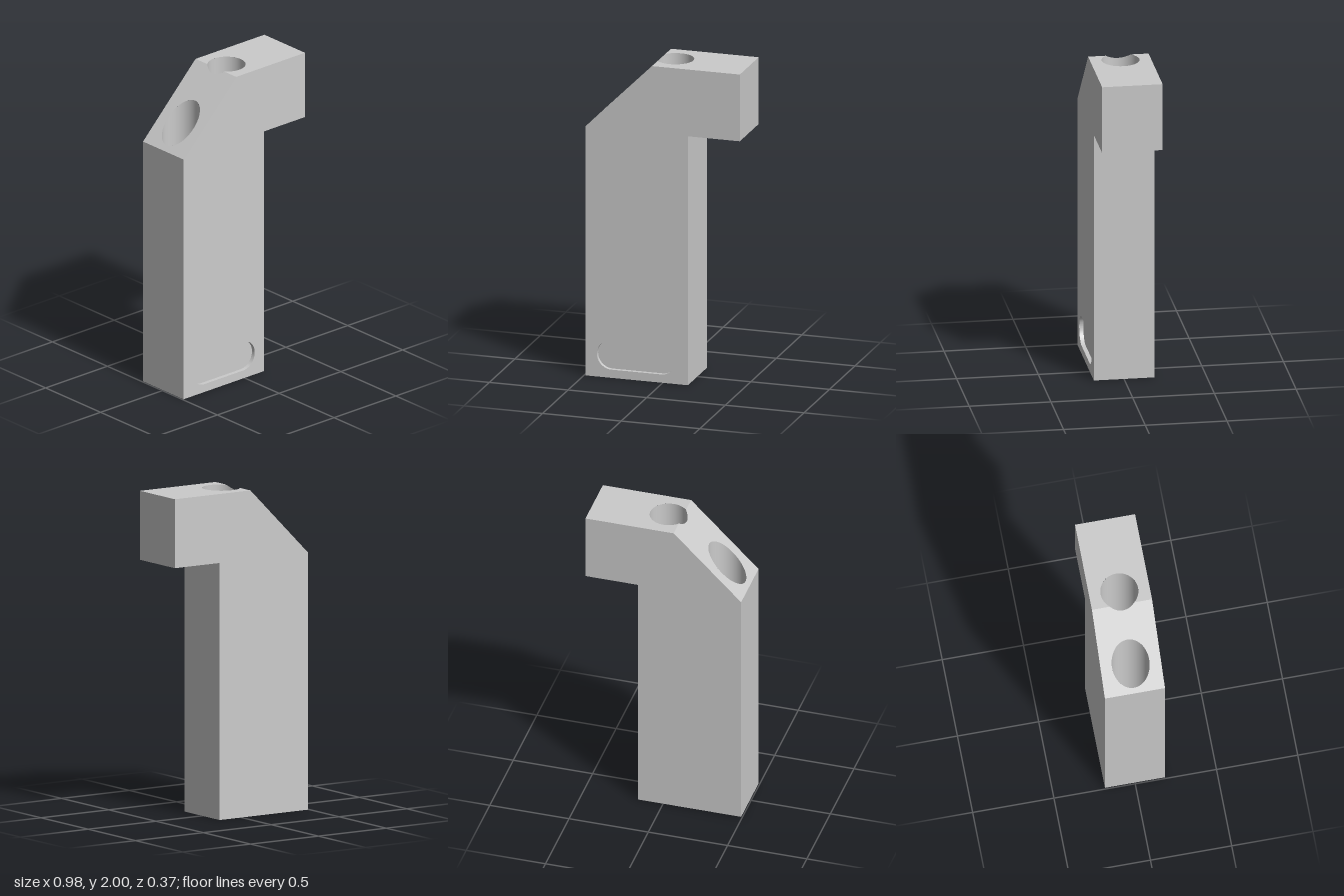
import * as THREE from 'three';
import { toCreasedNormals } from 'three/addons/utils/BufferGeometryUtils.js';

const LEFT = -0.492, LEG = 0.16, RIGHT = 0.49, TOP = 2, STEP = 1.577, RIDGE = -0.067;
const HALF = 0.185;                       // half thickness in z
const BORES = [-0.35, 0.02];              // x of the two vertical bores
const WIDE = 0.115, NARROW = 0.065, MOUTH = 0.087;
const FLOOR = 0.3, CONE = 0.055, POCKET = 0.025;
const SEG = 64;

// Height of the upper surface: slope on the left, flat beyond the ridge
const height = (x) => Math.min(TOP, TOP + (x - RIDGE) * (TOP - STEP) / (RIDGE - LEFT));

const polygon = (points) => new THREE.Shape(points.map(([x, y]) => new THREE.Vector2(x, y)));
const circle = (x, r) => new THREE.Path().absarc(x, 0, r, 0, Math.PI * 2, true);

// Wall swept in z along a polyline; it faces the right-hand side of travel
function band(points, z0, z1) {
  const pos = [];
  for (let i = 0; i + 1 < points.length; i++) {
    const [a, b] = [points[i], points[i + 1]];
    pos.push(a[0], a[1], z1, a[0], a[1], z0, b[0], b[1], z0);
    pos.push(a[0], a[1], z1, b[0], b[1], z0, b[0], b[1], z1);
  }
  const g = new THREE.BufferGeometry();
  g.setAttribute('position', new THREE.Float32BufferAttribute(pos, 3));
  g.computeVertexNormals();
  return toCreasedNormals(g, 0.5);
}

// Lift vertices onto the upper surface
function drape(g, offset = 0, from = -1) {
  const p = g.attributes.position;
  for (let i = 0; i < p.count; i++) {
    if (p.getY(i) > from) p.setY(i, height(p.getX(i) + offset));
  }
  return g;
}

export function createModel() {
  const model = new THREE.Group();
  const grey = new THREE.MeshStandardMaterial({ color: 0xcccccc });
  const inner = new THREE.MeshStandardMaterial({ color: 0xcccccc, side: THREE.DoubleSide });
  const red = new THREE.MeshStandardMaterial({ color: 0xff0000, side: THREE.DoubleSide });
  const add = (name, geometry, material = grey, parent = model) => {
    const mesh = new THREE.Mesh(geometry, material);
    mesh.name = name;
    parent.add(mesh);
    return mesh;
  };

  // Hooked outline, front and back
  const outline = [[LEFT, 0], [LEG, 0], [LEG, STEP], [RIGHT, STEP], [RIGHT, TOP], [RIDGE, TOP], [LEFT, STEP]];
  const slot = new THREE.Path();
  const slotY = 0.145, slotR = 0.093;
  slot.absarc(-0.325, slotY, slotR, -Math.PI / 2, Math.PI / 2, true);
  slot.absarc(-0.01, slotY, slotR, Math.PI / 2, -Math.PI / 2, true);
  slot.closePath();
  const front = polygon(outline);
  front.holes.push(slot);
  add('frontFace', new THREE.ShapeGeometry(front, 24)).position.z = HALF;
  const back = add('backFace', new THREE.ShapeGeometry(polygon(outline.map(([x, y]) => [-x, y]))));
  back.rotation.y = Math.PI;
  back.position.z = -HALF;

  // Shallow rounded slot in the front
  const rim = slot.getPoints(24).map((p) => [p.x, p.y]);
  add('slotWall', band(rim, HALF - POCKET, HALF));
  add('slotFloor', new THREE.ShapeGeometry(polygon(rim))).position.z = HALF - POCKET;

  // Plain side walls
  add('armAndLegSides', band(outline.slice(1, 5), -HALF, HALF));
  add('leftSide', band([[LEFT, STEP], [LEFT, 0]], -HALF, HALF));

  // Flat top, bitten by the bore that crosses the ridge
  const a = Math.acos((RIDGE - BORES[1]) / WIDE);
  const flat = polygon([[RIDGE, -HALF], [RIGHT, -HALF], [RIGHT, HALF], [RIDGE, HALF]]);
  flat.absarc(BORES[1], 0, WIDE, a, -a, true);
  // Slope, with the rest of that bite and a full bore opening
  const slope = polygon([[LEFT, -HALF], [RIDGE, -HALF]]);
  slope.absarc(BORES[1], 0, WIDE, -a, a, true);
  slope.lineTo(RIDGE, HALF).lineTo(LEFT, HALF);
  slope.holes.push(circle(BORES[0], WIDE));
  for (const [name, shape] of [['topFace', flat], ['slopeFace', slope]]) {
    const g = drape(new THREE.ShapeGeometry(shape, SEG).rotateX(-Math.PI / 2));
    g.computeVertexNormals();
    add(name, g);
  }

  // Underside with the two bore mouths
  const base = polygon([[LEFT, -HALF], [LEG, -HALF], [LEG, HALF], [LEFT, HALF]]);
  base.holes.push(...BORES.map((x) => circle(x, MOUTH)));
  add('underside', new THREE.ShapeGeometry(base, SEG / 2).rotateX(Math.PI / 2));

  // Stepped bores with a red flared mouth
  const ring = (r0, y0, r1, y1) =>
    new THREE.LatheGeometry([new THREE.Vector2(r0, y0), new THREE.Vector2(r1, y1)], SEG);
  for (const x of BORES) {
    const bore = new THREE.Group();
    bore.name = 'bore';
    bore.position.x = x;
    model.add(bore);
    add('wideBore', drape(ring(WIDE, TOP, WIDE, FLOOR), x, 1), inner, bore);
    add('boreStep', ring(WIDE, FLOOR, NARROW, FLOOR), inner, bore);
    add('narrowBore', ring(NARROW, FLOOR, NARROW, CONE), inner, bore);
    add('boreMouth', ring(NARROW, CONE, MOUTH, 0), red, bore);
  }
  return model;
}
